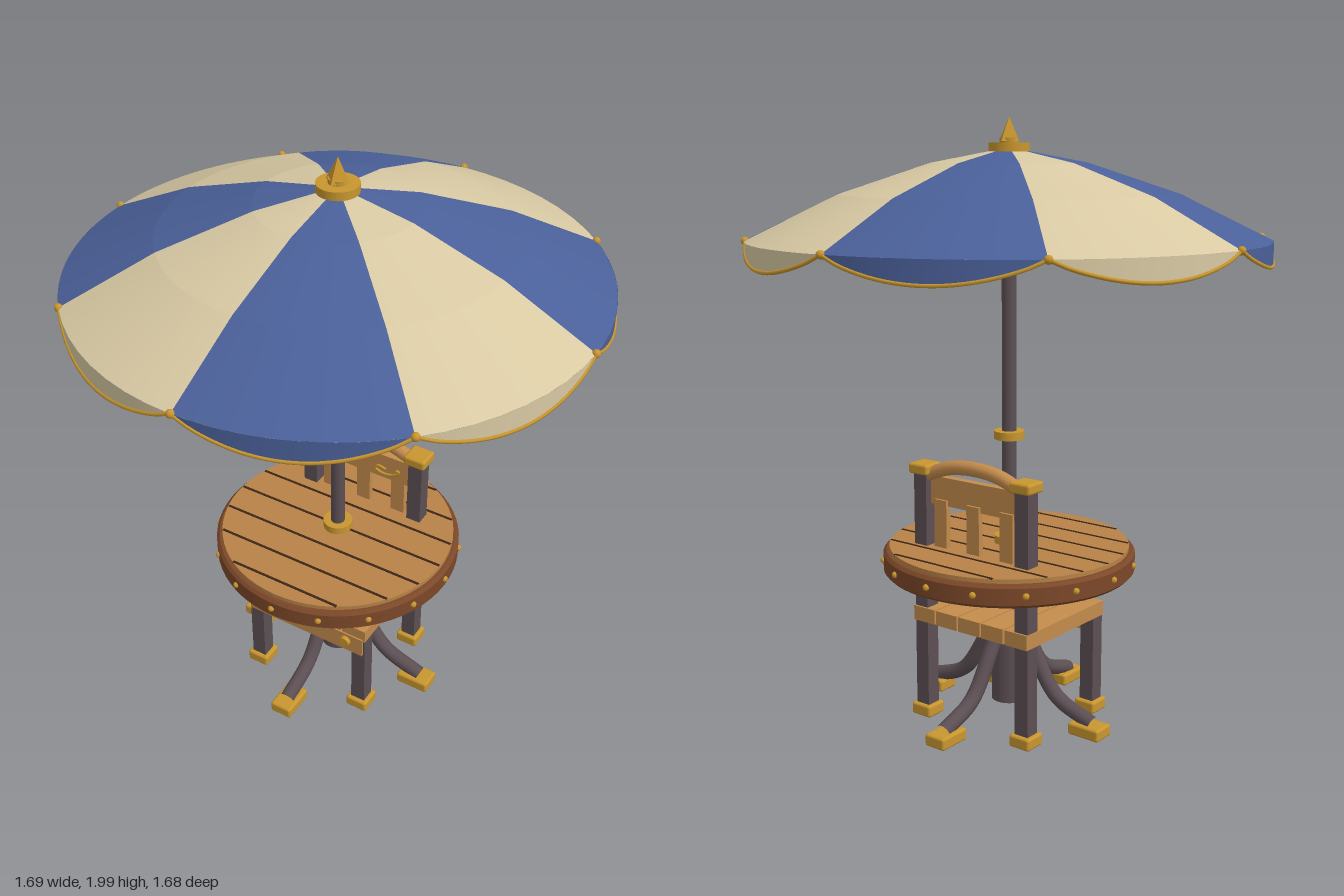
import * as THREE from 'three';
import { RoundedBoxGeometry } from 'three/addons/geometries/RoundedBoxGeometry.js';

const mat = (name, color, side = THREE.FrontSide) => {
  const m = new THREE.MeshStandardMaterial({ color, side });
  m.name = name;
  return m;
};

export function createModel() {
  const root = new THREE.Group();
  root.name = 'parasolTableAndChair';
  const blue = mat('blue cloth', 0x4a6099, THREE.DoubleSide);
  const cream = mat('cream cloth', 0xd8c9a3, THREE.DoubleSide);
  const gold = mat('gold', 0xc8962f);
  const iron = mat('dark iron', 0x5c4f54);
  const wood = mat('light wood', 0xc48c4c);
  const top = mat('table wood', 0xb78246);
  const rim = mat('rim wood', 0x7c4829);
  const groove = mat('groove', 0x3c2517);

  const add = (parent, name, geo, material, x = 0, y = 0, z = 0) => {
    const m = new THREE.Mesh(geo, material);
    m.name = name;
    m.position.set(x, y, z);
    parent.add(m);
    return m;
  };
  const group = (name) => {
    const g = new THREE.Group();
    g.name = name;
    root.add(g);
    return g;
  };
  // Upright cylinder given by its bottom and top heights
  const cyl = (parent, name, r, y0, y1, material, seg = 32) =>
    add(parent, name, new THREE.CylinderGeometry(r, r, y1 - y0, seg), material, 0, (y0 + y1) / 2, 0);
  const box = (w, h, d) => new THREE.BoxGeometry(w, h, d);
  const softBox = (w, h, d) => new RoundedBoxGeometry(w, h, d, 2, 0.009);
  const tube = (pts, r, seg = 20, sides = 10) => new THREE.TubeGeometry(
    new THREE.CatmullRomCurve3(pts.map((p) => new THREE.Vector3(...p))), seg, r, sides);

  // Canopy: eight panels of cone bands, each with a scalloped valance
  const canopy = group('canopy');
  const profile = [[0.03, 1.9], [0.25, 1.858], [0.54, 1.762], [0.83, 1.62]];
  const R = 0.83, rimY = 1.62, step = Math.PI / 4;
  for (let i = 0; i < 8; i++) {
    const start = i * step;
    const cloth = i % 2 ? cream : blue;
    for (let b = 0; b < 3; b++) {
      const [r0, y0] = profile[b], [r1, y1] = profile[b + 1];
      add(canopy, 'canopyPanel', new THREE.CylinderGeometry(r0, r1, y0 - y1, 8, 1, true, start, step),
        cloth, 0, (y0 + y1) / 2, 0);
    }
    const drop = (u) => 0.07 * Math.pow(Math.sin(Math.PI * u), 0.8);
    const at = (u, v) => [R * Math.sin(start + u * step), rimY - v * drop(u), R * Math.cos(start + u * step)];
    const valance = new THREE.PlaneGeometry(1, 1, 16, 1);
    const p = valance.attributes.position;
    for (let k = 0; k < p.count; k++) p.setXYZ(k, ...at(p.getX(k) + 0.5, 0.5 - p.getY(k)));
    valance.computeVertexNormals();
    add(canopy, 'valance', valance, cloth);
    const hem = Array.from({ length: 13 }, (_, k) => at(k / 12, 1));
    add(canopy, 'valanceTrim', tube(hem, 0.006, 24, 6), gold);
    // Rib under each seam with a ball at its tip
    const s = Math.sin(start), c = Math.cos(start);
    for (let b = 0; b < 3; b++) {
      const ends = [profile[b], profile[b + 1]].map(([r, y]) => [r * s, y - 0.01, r * c]);
      add(canopy, 'rib', tube(ends, 0.006, 1, 6), gold);
    }
    add(canopy, 'ribTip', new THREE.SphereGeometry(0.013, 10, 8), gold, R * s, rimY, R * c);
  }

  // Pole, collars and finial
  const pole = group('pole');
  cyl(pole, 'poleShaft', 0.024, 0.6, 1.9, iron, 20);
  cyl(pole, 'poleCollar', 0.05, 0.968, 0.995, gold);
  cyl(pole, 'tableCollar', 0.05, 0.61, 0.64, gold);
  cyl(pole, 'hub', 0.04, 1.858, 1.885, gold);
  cyl(pole, 'crownDisc', 0.066, 1.892, 1.92, gold);
  cyl(pole, 'crownNeck', 0.03, 1.92, 1.935, gold);
  const spike = new THREE.ConeGeometry(0.04, 0.075, 4).toNonIndexed();
  spike.computeVertexNormals();
  add(pole, 'finial', spike, gold, 0, 1.9625, 0);

  // Round table with plank grooves and studs
  const table = group('table');
  const rimProfile = [[0, 0.525], [0.41, 0.525], [0.42, 0.535], [0.42, 0.59], [0.41, 0.6], [0, 0.6]];
  const rimPoints = [];
  rimProfile.forEach(([r, y]) => rimPoints.push(new THREE.Vector2(r, y)));
  for (let k = 0; k < rimPoints.length - 1; k++) {
    add(table, 'tableRim', new THREE.LatheGeometry(rimPoints.slice(k, k + 2), 64), rim);
  }
  cyl(table, 'tableTop', 0.4, 0.59, 0.614, top, 64);
  for (let k = -3; k <= 3; k++) {
    const z = k * 0.114;
    add(table, 'plankGroove', box(2 * Math.sqrt(0.158 - z * z), 0.004, 0.009), groove, 0, 0.6135, z);
  }
  for (let k = 0; k < 16; k++) {
    const a = k * Math.PI / 8;
    add(table, 'stud', new THREE.SphereGeometry(0.011, 10, 8), gold,
      0.42 * Math.sin(a), 0.565, 0.42 * Math.cos(a));
  }

  // Column with four curved legs
  const base = group('pedestal');
  cyl(base, 'column', 0.06, 0.06, 0.53, iron);
  for (let k = 0; k < 4; k++) {
    const leg = new THREE.Group();
    leg.name = 'pedestalLeg';
    leg.rotation.y = k * Math.PI / 2;
    base.add(leg);
    add(leg, 'curvedLeg', tube([[0.03, 0.38, 0], [0.105, 0.25, 0], [0.2, 0.115, 0], [0.345, 0.055, 0]], 0.026), iron);
    add(leg, 'pedestalFoot', softBox(0.12, 0.042, 0.08), gold, 0.333, 0.034, 0);
  }

  // Chair frame, mirrored left and right
  const chair = group('chair');
  for (const s of [-1, 1]) {
    const x = s * 0.21;
    add(chair, 'frontLeg', box(0.052, 0.32, 0.052), iron, x, 0.2, 0.185);
    add(chair, 'backPost', box(0.052, 0.83, 0.052), iron, x, 0.455, -0.182);
    add(chair, 'postCap', softBox(0.08, 0.036, 0.08), gold, x, 0.873, -0.182);
    for (const z of [0.185, -0.182]) add(chair, 'chairFoot', softBox(0.08, 0.042, 0.08), gold, x, 0.029, z);
    const knob = add(chair, 'apronKnob', new THREE.CylinderGeometry(0.018, 0.02, 0.016, 16), gold, s * 0.165, 0.328, 0.226);
    knob.rotation.x = Math.PI / 2;
    add(chair, 'backScroll', tube([[0.1, 0.797, 0], [0.07, 0.803, 0], [0.058, 0.79, 0], [0.085, 0.777, 0],
      [0.125, 0.782, 0], [0.152, 0.803, 0], [0.14, 0.808, 0]].map(([px, py]) => [s * px, py, -0.152]), 0.005, 30, 6), gold);
  }

  // Seat planks and apron
  for (let k = -2; k <= 2; k++) add(chair, 'seatPlank', box(0.09, 0.05, 0.43), wood, k * 0.0965, 0.373, 0);
  add(chair, 'frontApron', box(0.46, 0.075, 0.02), wood, 0, 0.32, 0.21);

  // Backrest
  add(chair, 'backBoard', box(0.375, 0.095, 0.026), wood, 0, 0.803, -0.17);
  add(chair, 'lowerRail', box(0.375, 0.06, 0.026), wood, 0, 0.5, -0.182);
  for (const x of [-0.137, 0, 0.137]) add(chair, 'backSlat', box(0.052, 0.27, 0.02), wood, x, 0.64, -0.182);
  add(chair, 'archedRail', tube([[-0.19, 0.855, -0.182], [-0.1, 0.887, -0.182], [0, 0.897, -0.182],
    [0.1, 0.887, -0.182], [0.19, 0.855, -0.182]], 0.024, 24), wood);

  return root;
}
